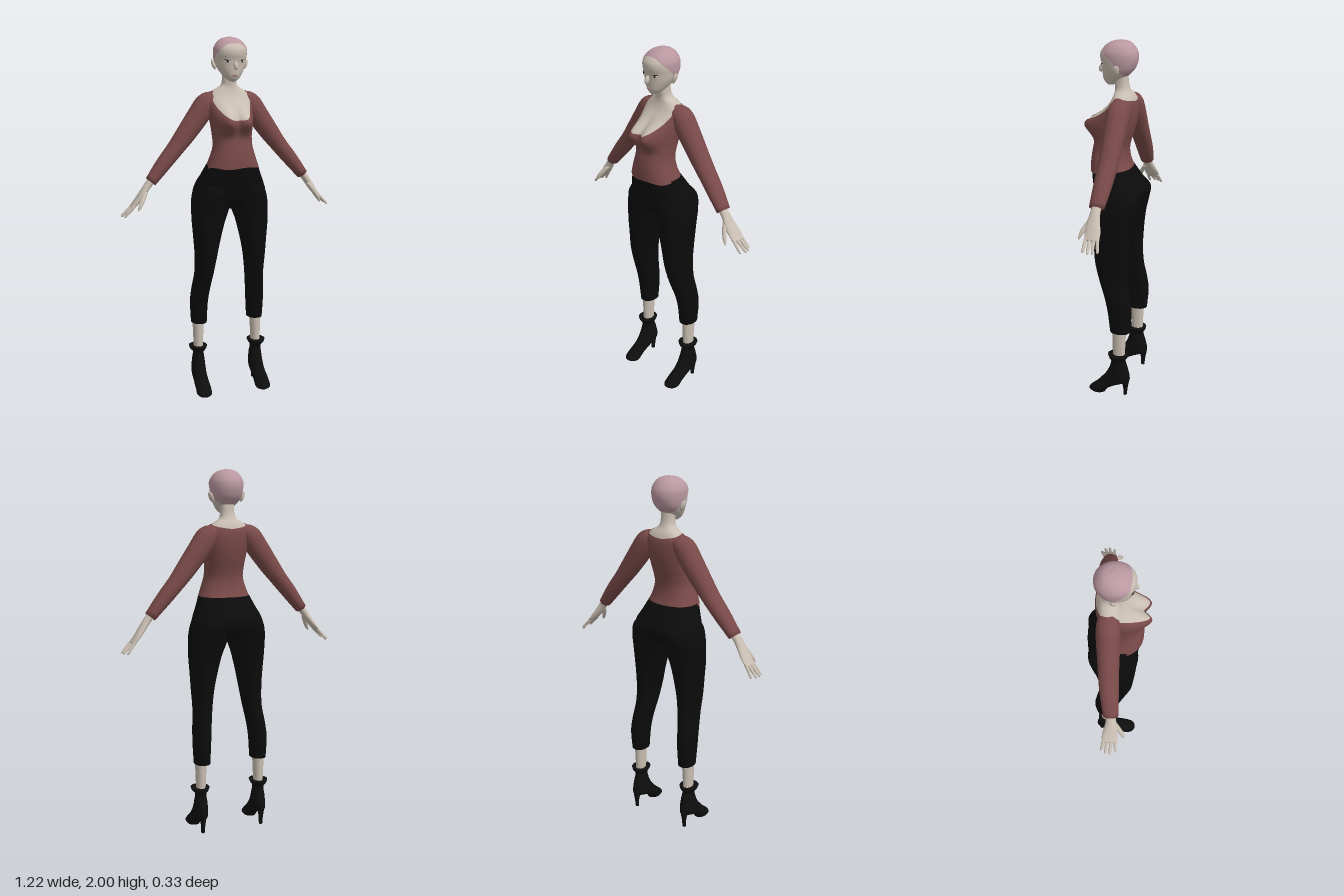
import * as THREE from 'three';

const mat = (name, color, side = THREE.FrontSide) => {
  const m = new THREE.MeshStandardMaterial({ color, side });
  m.name = name;
  return m;
};

// Smooth interpolation of a table whose first column is the key
function sample(T, k) {
  let i = 0;
  while (i < T.length - 2 && k > T[i + 1][0]) i++;
  const a = T[i], b = T[i + 1], p = T[i - 1] ?? a, n = T[i + 2] ?? b, h = b[0] - a[0];
  const t = Math.min(1, Math.max(0, (k - a[0]) / h)), t2 = t * t, t3 = t2 * t;
  return a.map((_, c) => {
    const ma = (b[c] - p[c]) / (b[0] - p[0]) * h, mb = (n[c] - a[c]) / (n[0] - a[0]) * h;
    return (2 * t3 - 3 * t2 + 1) * a[c] + (t3 - 2 * t2 + t) * ma + (3 * t2 - 2 * t3) * b[c] + (t3 - t2) * mb;
  });
}
const indexed = rows => rows.map((r, i) => [i, ...r]);

// Closed tube of cross-sections: point(angle, v) with v from 0 to 1
function skinTube(point, nu, nv, capped) {
  const pos = [], idx = [];
  for (let j = 0; j <= nv; j++)
    for (let i = 0; i < nu; i++) pos.push(...point(i / nu * Math.PI * 2, j / nv));
  for (let j = 0; j < nv; j++)
    for (let i = 0; i < nu; i++) {
      const a = j * nu + i, b = j * nu + (i + 1) % nu;
      idx.push(a, b, a + nu, b, b + nu, a + nu);
    }
  if (capped) for (const j of [0, nv]) {
    const mid = [0, 0, 0], c = pos.length / 3;
    for (let i = 0; i < nu; i++) for (let k = 0; k < 3; k++) mid[k] += pos[(j * nu + i) * 3 + k] / nu;
    pos.push(...mid);
    for (let i = 0; i < nu; i++) {
      const a = j * nu + i, b = j * nu + (i + 1) % nu;
      idx.push(c, ...(j ? [a, b] : [b, a]));
    }
  }
  const g = new THREE.BufferGeometry();
  g.setAttribute('position', new THREE.Float32BufferAttribute(pos, 3));
  g.setIndex(idx);
  g.computeVertexNormals();
  return g;
}

// Point on a rounded horizontal section [y, xMin, xMax, zFront, zBack]
function section([y, x0, x1, zf, zb], a, grow = 0, power = 1, s = 1) {
  const r = v => Math.sign(v) * Math.abs(v) ** power;
  return [s * (x0 + x1) / 2 + r(Math.sin(a)) * ((x1 - x0) / 2 + grow), y,
    (zf + zb) / 2 + r(Math.cos(a)) * ((zf - zb) / 2 + grow)];
}
const upright = (T, s = 1, power = 1, nv = 40) =>
  skinTube((a, v) => section(sample(T, T[0][0] + v * (T.at(-1)[0] - T[0][0])), a, 0, power, s), 36, nv, true);

// Limb along rows [x, y, z, thickness radius, depth radius]
function limb(rows, s, nu = 24, nv = 32) {
  const T = indexed(rows), end = rows.length - 1;
  return skinTube((a, v) => {
    const k = v * end, [, x, y, z, rn, rz] = sample(T, k);
    const p = sample(T, Math.max(0, k - 0.05)), q = sample(T, Math.min(end, k + 0.05));
    const dx = q[1] - p[1], dy = q[2] - p[2], l = Math.hypot(dx, dy) || 1, c = Math.cos(a) * rn;
    return [s * (x - dy / l * c), y + dx / l * c, z + s * Math.sin(a) * rz];
  }, nu, nv, true);
}

const wide = rows => rows.map(([y, w, zf, zb]) => [y, -w, w, zf, zb]);
const TORSO = wide([[1.3, .148, .139, -.09], [1.36, .125, .138, -.068], [1.42, .107, .13, -.062],
  [1.47, .106, .116, -.072], [1.52, .11, .108, -.088], [1.58, .118, .092, -.102], [1.64, .126, .06, -.108],
  [1.68, .124, .033, -.105], [1.715, .092, .018, -.092], [1.74, .052, .014, -.076], [1.77, .042, .016, -.066],
  [1.82, .042, .016, -.06]]);
const HEAD = indexed(wide([[1.765, .014, .055, .02], [1.778, .031, .066, 0], [1.795, .047, .074, -.025],
  [1.82, .064, .078, -.062], [1.85, .078, .08, -.09], [1.88, .085, .083, -.104], [1.91, .088, .091, -.11],
  [1.94, .086, .087, -.106], [1.97, .069, .062, -.088], [1.99, .042, .028, -.063], [2, 0, -.02, -.02]]));
const HIPS = wide([[1.07, .03, .03, -.05], [1.1, .11, .08, -.11], [1.15, .2, .106, -.148], [1.2, .196, .115, -.16],
  [1.26, .168, .127, -.125], [1.32, .142, .134, -.084]]);
const LEG = [[.4, .125, .212, -.015, -.127], [.52, .12, .216, 0, -.136], [.6, .113, .21, .02, -.127],
  [.7, .1, .198, .055, -.11], [.8, .085, .2, .08, -.105], [.9, .064, .207, .088, -.11], [1, .038, .215, .096, -.12],
  [1.06, .016, .216, .1, -.132], [1.12, 0, .213, .105, -.147], [1.19, 0, .192, .108, -.157], [1.25, .03, .15, .07, -.11]];
const SHIN = [[.18, .15, .2, -.035, -.1], [.3, .147, .202, -.03, -.103], [.45, .138, .208, -.026, -.11]];
const BOOT = [[0, .142, .212, .1, .015], [.012, .134, .22, .112, .01], [.03, .134, .22, .098, -.008],
  [.045, .134, .22, .08, -.03], [.064, .135, .218, .06, -.07], [.085, .136, .216, .042, -.122],
  [.117, .137, .214, .015, -.131], [.17, .14, .21, -.012, -.119], [.222, .145, .206, -.022, -.106],
  [.24, .133, .222, -.01, -.117], [.258, .125, .23, -.004, -.121]];
const HEEL = [[0, .167, .187, -.095, -.115], [.05, .164, .19, -.093, -.121], [.1, .155, .199, -.075, -.13]];
const NECKLINE = [[0, 1.565], [.3, 1.572], [.6, 1.597], [.85, 1.645], [1.1, 1.698], [1.4, 1.714], [1.9, 1.708], [3.15, 1.688]];
const HAIRLINE = [[0, 7.85], [.5, 7.65], [.9, 6.9], [1.2, 6.2], [1.6, 4.8], [2, 3.6], [2.5, 3], [3.15, 2.9]];
const fromFront = a => Math.min(a, Math.PI * 2 - a);

// Torso surface with a rounded bust
function torsoPoint(a, y, grow) {
  const p = section(sample(TORSO, y), a, grow, 0.88);
  const dx = (Math.abs(p[0]) - .055) / .041, dy = (y - 1.557) / .043;
  p[2] += .082 * Math.max(0, Math.cos(a)) ** .7 * Math.exp(-(dx * dx + dy * dy) / 2);
  return p;
}
const headPoint = (a, u, grow = 0) => section(sample(HEAD, u).slice(1), a, grow, .95);

export function createModel() {
  const model = new THREE.Group();
  const skin = mat('skin', 0xc9beb2), scalp = mat('scalp pink', 0xba98a1, THREE.DoubleSide);
  const cloth = mat('dusty red cloth', 0x794a49, THREE.DoubleSide);
  const black = mat('black cloth', 0x0b0b0b), leather = mat('black leather', 0x0e0e0f);
  const white = mat('eye white', 0xd8d2cc), dark = mat('dark brown', 0x2e2422), lip = mat('lip', 0xa98582);
  const add = (name, geo, material, parent = model) => {
    const m = new THREE.Mesh(geo, material);
    m.name = name;
    parent.add(m);
    return m;
  };
  const ball = (name, material, scale, at, parent) => {
    const m = add(name, new THREE.SphereGeometry(1, 20, 14), material, parent);
    m.scale.set(...scale);
    m.position.set(...at);
    return m;
  };

  // Body, top and trousers
  add('chestAndNeck', skinTube((a, v) => torsoPoint(a, 1.42 + .4 * v, -.004), 72, 60), skin);
  add('top', skinTube((a, v) => {
    const hem = 1.308 + .004 * Math.sin(a * 5), edge = sample(NECKLINE, fromFront(a))[1];
    return torsoPoint(a, hem + (edge - hem) * v, .001);
  }, 72, 60), cloth);
  add('trouserHips', upright(HIPS, 1, .9), black);

  // Head and scalp cap
  add('head', skinTube((a, v) => headPoint(a, v * 10), 56, 50, true), skin);
  add('scalpCap', skinTube((a, v) => {
    const low = sample(HAIRLINE, fromFront(a))[1], p = headPoint(a, low + (10 - low) * v, .0015);
    return [p[0], p[1] + .001 * v, p[2]];
  }, 56, 40), scalp);

  // Face
  ball('nose', skin, [.011, .023, .014], [0, 1.85, .088], model).rotation.x = -.35;
  ball('upperLip', lip, [.018, .0035, .005], [0, 1.802, .0745], model);
  ball('lowerLip', lip, [.014, .004, .005], [0, 1.796, .073], model);

  for (const s of [1, -1]) {
    const side = s > 0 ? 'left' : 'right';
    // Eye, lash and brow
    const eye = new THREE.Group();
    eye.name = side + 'Eye';
    eye.position.set(...headPoint(s * .47, 4.75));
    eye.rotation.y = s * .4;
    model.add(eye);
    ball('eyeWhite', white, [.018, .007, .003], [0, 0, .0005], eye);
    ball('iris', dark, [.0065, .0065, .003], [0, 0, .002], eye);
    ball('lash', dark, [.02, .0022, .004], [0, .0065, .001], eye).rotation.z = s * .08;
    ball('brow', dark, [.019, .0013, .003], [0, .026, .002], eye).rotation.z = s * .1;

    // Ear
    ball(side + 'Ear', skin, [.01, .029, .017], [s * .09, 1.855, -.02], model).rotation.set(0, s * .3, -s * .35);

    // Sleeve
    add(side + 'Sleeve', limb([[.05, 1.677, -.045, .02, .03], [.09, 1.67, -.045, .042, .052],
      [.125, 1.643, -.045, .06, .06], [.17, 1.58, -.046, .06, .06], [.24, 1.485, -.046, .054, .055],
      [.3, 1.408, -.046, .046, .052], [.37, 1.325, -.043, .041, .048], [.443, 1.234, -.037, .031, .04]], s), cloth);

    // Hand with fingers and thumb
    const hand = new THREE.Group();
    hand.name = side + 'Hand';
    model.add(hand);
    add('palm', limb([[.42, 1.262, -.037, .022, .026], [.46, 1.215, -.036, .02, .026], [.49, 1.172, -.037, .018, .035],
      [.522, 1.13, -.043, .014, .041], [.55, 1.098, -.046, .009, .038]], s), skin, hand);
    [[-.015, -.014, .595], [-.036, -.043, .607], [-.056, -.067, .602], [-.074, -.088, .585]].forEach(([z0, z1, x], i) =>
      add('finger' + (i + 1), limb([[.535, 1.112, z0, .009, .0095], [.535 + (x - .535) * .5, 1.082, (z0 + z1) / 2, .008, .0085],
        [x - .006, 1.056, z1, .006, .007], [x, 1.051, z1, .002, .002]], s, 10, 12), skin, hand));
    add('thumb', limb([[.472, 1.185, -.018, .012, .013], [.5, 1.14, .01, .012, .013], [.518, 1.108, .024, .009, .009],
      [.529, 1.09, .03, .003, .003]], s, 12, 14), skin, hand);

    // Leg and ankle boot
    add(side + 'TrouserLeg', upright(LEG, s, .9, 60), black);
    add(side + 'Shin', upright(SHIN, s, 1, 8), skin);
    add(side + 'Boot', upright(BOOT, s, 1, 50), leather);
    add(side + 'BootHeel', upright(HEEL, s, 1, 10), leather);
  }
  return model;
}
